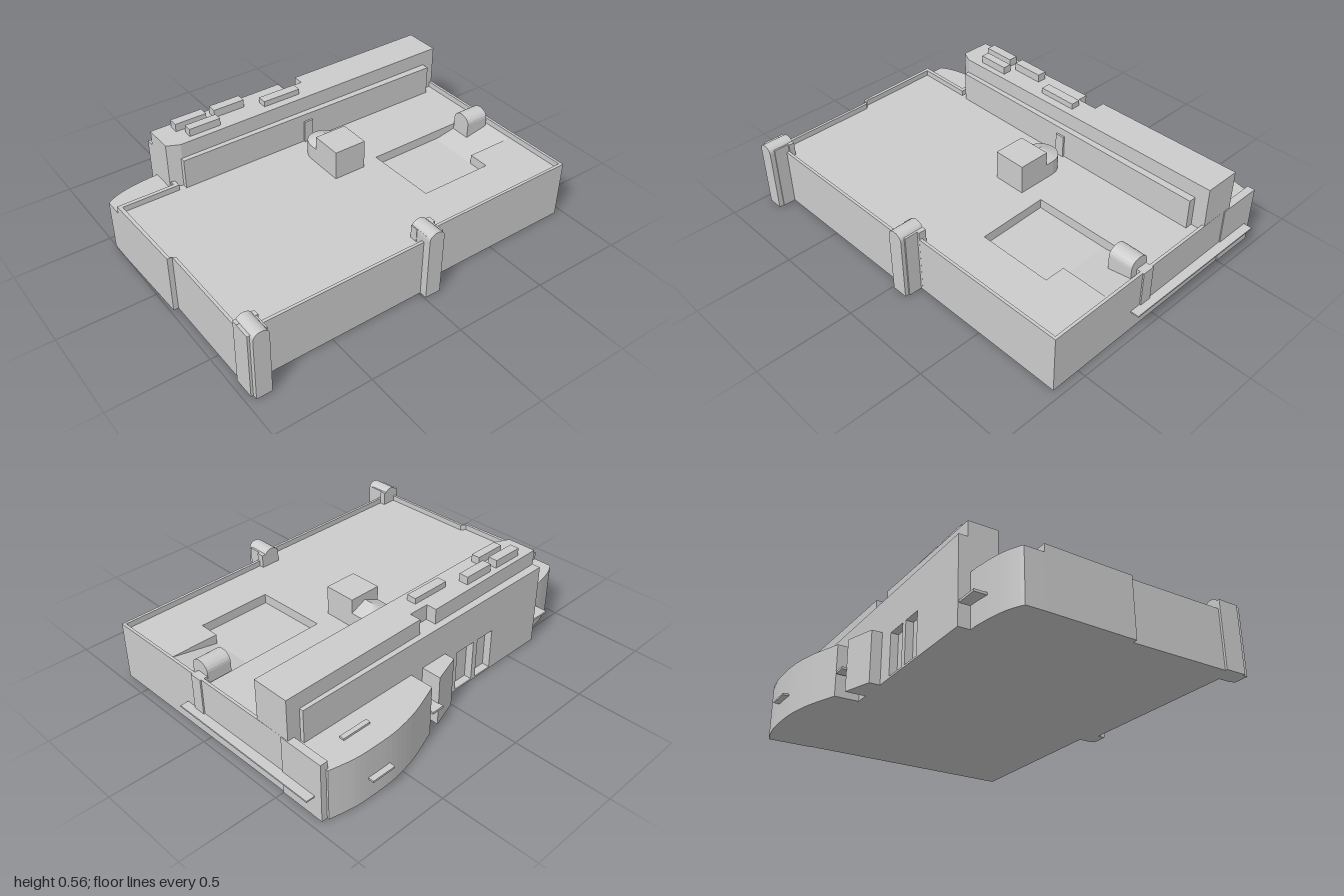
import * as THREE from 'three';

const mat = new THREE.MeshStandardMaterial({ color: 0xcccccc, flatShading: true });

export function createModel() {
  const model = new THREE.Group();
  const add = (name, geometry) => {
    const mesh = new THREE.Mesh(geometry, mat);
    mesh.name = name;
    model.add(mesh);
    return mesh;
  };
  const box = (name, x0, x1, y0, y1, z0, z1) =>
    add(name, new THREE.BoxGeometry(x1 - x0, y1 - y0, z1 - z0)
      .translate((x0 + x1) / 2, (y0 + y1) / 2, (z0 + z1) / 2));
  const vec = (pts) => pts.map(([x, z]) => new THREE.Vector2(x, -z));
  // Plan outline in x,z raised from y0 to y1
  const raise = (name, pts, y0, y1, hole) => {
    const shape = new THREE.Shape(vec(pts));
    if (hole) shape.holes.push(new THREE.Path(vec(hole)));
    const geometry = new THREE.ExtrudeGeometry(shape, { depth: y1 - y0, bevelEnabled: false });
    return add(name, geometry.rotateX(-Math.PI / 2).translate(0, y0, 0));
  };
  const smooth = (pts, n) => new THREE.SplineCurve(pts.map((p) => new THREE.Vector2(...p)))
    .getPoints(n).map((p) => [p.x, p.y]);

  // Main hall: solid base, roof layer with a sunken court, parapet rim
  const plan = [[-1, -0.33], [-0.985, 0.14], [-0.96, 0.14], [-0.955, 0.715], [0.05, 0.71],
    [0.05, 0.66], [0.96, 0.655], [0.95, -0.5], [-0.7, -0.5], [-0.7, -0.33]];
  const inner = [[-0.98, -0.31], [-0.97, 0.13], [-0.945, 0.15], [-0.94, 0.7], [0.035, 0.695],
    [0.035, 0.645], [0.945, 0.64], [0.935, -0.48], [-0.68, -0.48], [-0.68, -0.31]];
  const court = [[0.265, 0.03], [0.93, 0.025], [0.93, 0.3], [0.67, 0.3], [0.67, 0.41], [0.275, 0.41]];
  raise('hallBase', plan, 0, 0.23);
  raise('roof', plan, 0.23, 0.28, court);
  raise('parapet', plan, 0.28, 0.31, inner);

  // Ramp rising out of the court
  const wedge = new THREE.Shape([[0.67, 0.23], [0.93, 0.23], [0.93, 0.28]].map((p) => new THREE.Vector2(...p)));
  add('courtRamp', new THREE.ExtrudeGeometry(wedge, { depth: 0.27, bevelEnabled: false }).translate(0, 0, 0.03));

  // Tall rear block, notched at the top
  const corners = [[-0.705, -0.36], [-0.64, -0.33], [0.95, -0.345], [0.95, -0.54], [0.15, -0.53]];
  raise('tallBlock', [...corners, [0.15, -0.52], [-0.705, -0.52]], 0, 0.44);
  raise('tallBlockTop', [...corners, [0.15, -0.47], [0.04, -0.47], [0.04, -0.525], [-0.705, -0.515]], 0.44, 0.52);
  box('frontStep', -0.645, 0.88, 0.27, 0.44, -0.345, -0.305);
  box('stepHatch', 0.05, 0.1, 0.28, 0.4, -0.31, -0.295);

  // Rear facade with two recessed doorways
  const facade = new THREE.Shape([[-0.705, 0], [0.88, 0], [0.88, 0.44], [-0.705, 0.44]]
    .map((p) => new THREE.Vector2(...p)));
  for (const [a, b] of [[-0.35, -0.24], [-0.21, -0.09]]) {
    facade.holes.push(new THREE.Path([[a, 0.01], [b, 0.01], [b, 0.23], [a, 0.23]]
      .map((p) => new THREE.Vector2(...p))));
  }
  add('rearFacade', new THREE.ExtrudeGeometry(facade, { depth: 0.045, bevelEnabled: false }).translate(0, 0, -0.56));

  // Curved rear wings, entrance screen and end wall
  raise('curvedWing', [[0.23, -0.5],
    ...smooth([[0.23, -0.685], [0.4, -0.745], [0.55, -0.775], [0.68, -0.78], [0.8, -0.775], [0.925, -0.75]], 20),
    [0.925, -0.5]], 0, 0.27);
  raise('cornerWing', [[-0.7, -0.33], [-0.7, -0.5],
    ...smooth([[-0.75, -0.498], [-0.85, -0.485], [-0.93, -0.465], [-0.985, -0.44]], 10),
    [-1, -0.43], [-1, -0.33]], 0, 0.27);
  raise('entranceScreen', [[0, -0.5], [0, -0.615], [0.155, -0.665], [0.155, -0.5]], 0, 0.27);
  box('endWall', 0.915, 0.955, 0, 0.31, -0.74, -0.5);

  // Thin canopies and ledge
  box('sideLedge', 0.94, 1, 0.111, 0.119, -0.7, 0.16);
  box('entranceCanopy', 0.15, 0.22, 0.11, 0.122, -0.69, -0.55);
  box('wingCanopy', 0.595, 0.725, 0.11, 0.12, -0.81, -0.74);
  box('cornerCanopy', -0.82, -0.7, 0.11, 0.122, -0.555, -0.48);
  box('wingRoofPlate', 0.6, 0.755, 0.265, 0.28, -0.665, -0.64);

  // Rooftop units
  for (const [x0, x1, z0, z1, top] of [[-0.605, -0.435, -0.49, -0.44, 0.562], [-0.39, -0.22, -0.49, -0.44, 0.562],
    [-0.57, -0.4, -0.41, -0.365, 0.56], [-0.135, 0.075, -0.43, -0.38, 0.55]]) {
    box('rooftopUnit', x0, x1, 0.515, top, z0, z1);
  }

  // Roof lantern with a rounded, sloping back end
  box('lantern', -0.01, 0.165, 0.27, 0.435, -0.11, 0.06);
  const apse = new THREE.CylinderGeometry(0.0875, 0.0875, 0.09, 20).translate(0.0775, 0.315, -0.1575);
  add('lanternApse', apse);
  add('lanternApseRoof', new THREE.ConeGeometry(0.0875, 0.04, 20).translate(0.0775, 0.38, -0.1575));
  box('lanternLink', -0.01, 0.165, 0.27, 0.36, -0.1575, -0.1);
  const gable = new THREE.Shape([[-0.0875, 0.36], [0.0875, 0.36], [0, 0.4]].map((p) => new THREE.Vector2(...p)));
  add('lanternLinkRoof', new THREE.ExtrudeGeometry(gable, { depth: 0.055, bevelEnabled: false })
    .translate(0.0775, 0, -0.1575));

  // Round-topped buttress, its arch facing +z before turning
  const buttress = (name, width, depth, base, top) => {
    const r = width / 2;
    const arch = new THREE.Shape();
    arch.moveTo(-r, base);
    arch.lineTo(r, base);
    arch.lineTo(r, top - r * 0.8);
    arch.absellipse(0, top - r * 0.8, r, r * 0.8, 0, Math.PI, false);
    arch.lineTo(-r, base);
    return add(name, new THREE.ExtrudeGeometry(arch, { depth, bevelEnabled: false, curveSegments: 5 }));
  };
  buttress('cornerButtress', 0.08, 0.135, 0, 0.372).position.set(-0.915, 0, 0.67);
  box('cornerButtressFlank', -0.967, -0.862, 0, 0.353, 0.67, 0.7);
  box('cornerButtressRib', -0.967, -0.87, 0, 0.352, 0.7, 0.78);
  buttress('frontButtress', 0.085, 0.13, 0, 0.372).position.set(0.05, 0, 0.62);
  box('frontButtressFlank', 0.005, 0.112, 0, 0.35, 0.62, 0.66);
  box('frontButtressRib', 0.01, 0.1, 0, 0.35, 0.66, 0.73);
  const side = buttress('sideButtress', 0.105, 0.13, 0.23, 0.372);
  side.rotation.y = Math.PI / 2;
  side.position.set(0.79, 0, 0.085);
  box('sideButtressBase', 0.9, 0.962, 0.119, 0.31, 0.035, 0.1);

  return model;
}
